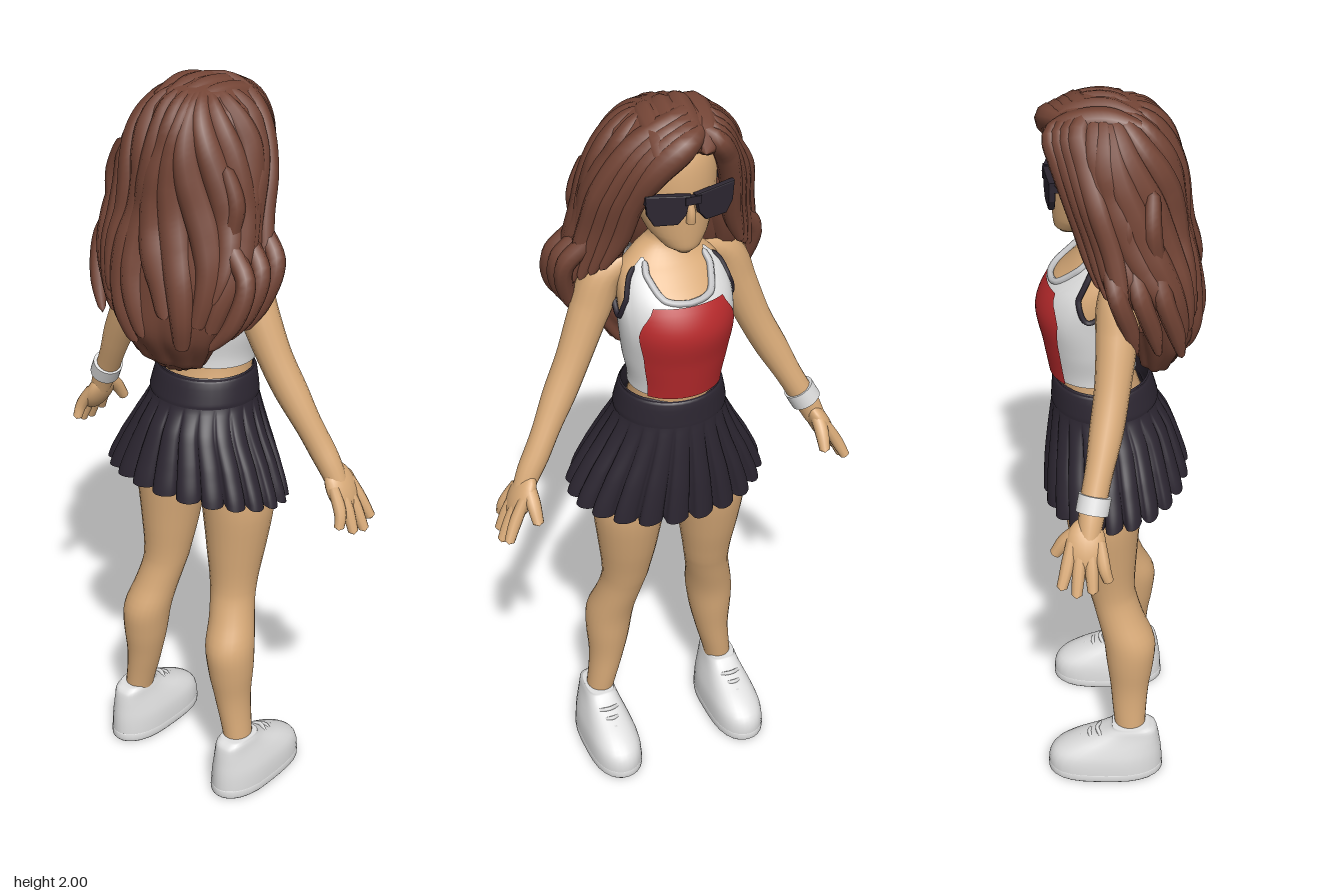
import * as THREE from 'three';

const mat = (name, color) => {
  const m = new THREE.MeshStandardMaterial({ color, side: THREE.DoubleSide });
  m.name = name;
  return m;
};
const V = (x, y, z) => new THREE.Vector3(x, y, z);
const rad = THREE.MathUtils.degToRad;

// Smooth interpolation in a table of rows whose first column is the key
function lookup(S, key) {
  let i = 0;
  while (i < S.length - 2 && key > S[i + 1][0]) i++;
  const t = THREE.MathUtils.clamp((key - S[i][0]) / (S[i + 1][0] - S[i][0]), 0, 1);
  const p0 = S[Math.max(i - 1, 0)], p1 = S[i], p2 = S[i + 1], p3 = S[Math.min(i + 2, S.length - 1)];
  return p1.slice(1).map((b, k) => {
    const a = p0[k + 1], c = p2[k + 1], d = p3[k + 1];
    return b + 0.5 * t * (c - a + t * (2 * a - 5 * b + 4 * c - d + t * (3 * (b - c) + d - a)));
  });
}

// Grid surface from a rule; u runs around, v runs up
function grid(fn, nu, nv, closed) {
  const pos = [], idx = [], w = closed ? nu : nu + 1;
  for (let j = 0; j <= nv; j++)
    for (let i = 0; i < w; i++) pos.push(...fn(i / nu, j / nv, j).toArray());
  for (let j = 0; j < nv; j++)
    for (let i = 0; i < nu; i++) {
      const a = j * w + i, b = j * w + (i + 1) % w;
      idx.push(a, b, b + w, a, b + w, a + w);
    }
  const g = new THREE.BufferGeometry();
  g.setAttribute('position', new THREE.Float32BufferAttribute(pos, 3));
  g.setIndex(idx);
  g.computeVertexNormals();
  return g;
}

// Sections are [y, centre z, half width, half depth]
function at(S, a, y, out = 0) {
  const [cz, rx, rz] = lookup(S, y);
  return V((rx + out) * Math.sin(a), y, cz + (rz + out) * Math.cos(a));
}
function loft(S, nu, steps, rule = at, cap = true) {
  const n = (S.length - 1) * steps;
  return grid((u, v, j) => {
    const r = THREE.MathUtils.clamp(cap ? j - 1 : j, 0, n), k = Math.min(Math.floor(r / steps), S.length - 2);
    const y = THREE.MathUtils.lerp(S[k][0], S[k + 1][0], r / steps - k);
    if (cap && (j === 0 || j === n + 2)) return rule(S, 0, y).lerp(rule(S, Math.PI, y), 0.5);
    return rule(S, u * Math.PI * 2, y);
  }, nu, cap ? n + 2 : n, true);
}

// Tapered tube through [x, y, z, radius] points, with rounded ends
function limb(pts, seg = 10, n = pts.length * 5) {
  const curve = new THREE.CatmullRomCurve3(pts.map(p => V(p[0], p[1], p[2])));
  const g = new THREE.TubeGeometry(curve, n, 1, seg), P = g.attributes.position, v = V();
  const radii = pts.map((p, i) => [i / (pts.length - 1), p[3]]);
  for (let i = 0; i <= n; i++) {
    const u = i / n, c = curve.getPointAt(u), e = Math.max(0, Math.abs(2 * u - 1) - 0.88) / 0.12;
    const r = lookup(radii, u)[0] * Math.sqrt(Math.max(0, 1 - e * e));
    for (let j = 0; j <= seg; j++) {
      const k = i * (seg + 1) + j;
      v.fromBufferAttribute(P, k).sub(c).multiplyScalar(r).add(c);
      P.setXYZ(k, v.x, v.y, v.z);
    }
  }
  return g;
}

export function createModel() {
  const skin = mat('skin', 0xd8aa78), hair = mat('hair brown', 0x744536), dark = mat('dark navy', 0x2c2631);
  const white = mat('white', 0xdedede), red = mat('red', 0xb82a2c), grey = mat('light grey', 0xc8c8ca);
  const body = new THREE.Group();
  const add = (name, geo, m, parent = body) => {
    const mesh = new THREE.Mesh(geo, m);
    mesh.name = name;
    parent.add(mesh);
    return mesh;
  };

  // Torso with neck, and head
  const torso = [[0.97, 0.03, 0.1, 0.07], [1.03, 0.03, 0.17, 0.11], [1.15, 0.04, 0.13, 0.11], [1.27, 0.065, 0.112, 0.102],
    [1.36, 0.07, 0.127, 0.112], [1.45, 0.075, 0.138, 0.122], [1.52, 0.055, 0.14, 0.115], [1.58, 0.03, 0.125, 0.08],
    [1.62, 0.018, 0.085, 0.056], [1.65, 0.02, 0.048, 0.045], [1.7, 0.035, 0.042, 0.042], [1.77, 0.05, 0.04, 0.04]];
  add('torso', loft(torso, 40, 4), skin);
  const head = [[1.652, 0.12, 0.018, 0.022], [1.668, 0.108, 0.045, 0.048], [1.7, 0.08, 0.073, 0.08], [1.75, 0.058, 0.093, 0.105],
    [1.82, 0.053, 0.103, 0.112], [1.89, 0.05, 0.098, 0.106], [1.94, 0.05, 0.065, 0.075], [1.96, 0.05, 0.02, 0.02]];
  add('head', loft(head, 32, 4), skin);
  add('nose', limb([[0, 1.8, 0.155, 0.008], [0, 1.765, 0.165, 0.011], [0, 1.74, 0.163, 0.012]]), skin);

  // Tank top with shaped neckline and armholes
  const edge = [[0, 1.53], [25, 1.54], [40, 1.585], [48, 1.61], [58, 1.608], [68, 1.53], [90, 1.475], [114, 1.53],
    [125, 1.6], [135, 1.605], [150, 1.57], [180, 1.55]];
  const topY = a => lookup(edge, Math.abs(THREE.MathUtils.radToDeg(a)))[0];
  add('tankTop', grid((u, v) => {
    const a = (u * 2 - 1) * Math.PI;
    return at(torso, a, THREE.MathUtils.lerp(1.268, topY(a), v), 0.007);
  }, 90, 18), white);
  const panel = [[1.266, 53], [1.38, 53], [1.45, 57], [1.48, 51], [1.505, 42], [1.525, 37]];
  add('redPanel', grid((u, v) => {
    const y = THREE.MathUtils.lerp(1.266, 1.525, v);
    return at(torso, (u * 2 - 1) * rad(lookup(panel, y)[0]), y, 0.011);
  }, 24, 18), red);
  const trim = (name, a0, a1, r, m) => add(name, limb(Array.from({ length: 25 }, (_, i) => {
    const a = rad(a0 + (a1 - a0) * i / 24);
    return [...at(torso, a, topY(a), 0.007).toArray(), r];
  }), 6, 60), m);
  trim('necklineTrim', -48, 48, 0.009, grey);
  trim('backNeckTrim', 135, 180, 0.008, grey);
  trim('backNeckTrim', -135, -180, 0.008, grey);
  for (const s of [-1, 1]) trim('armholeTrim', s * 60, s * 122, 0.007, dark);

  // Pleated skirt with waistband
  const skirt = [[0.925, 0.008, 0.262, 0.183], [1.02, 0.017, 0.222, 0.172], [1.1, 0.025, 0.178, 0.157],
    [1.17, 0.037, 0.146, 0.137], [1.25, 0.043, 0.13, 0.122]];
  add('skirt', loft(skirt, 264, 6, (S, a, y) => {
    const t = THREE.MathUtils.clamp((1.17 - y) / 0.245, 0, 1), w = (a * 22 / (Math.PI * 2)) % 1;
    const fold = Math.sqrt(Math.abs(Math.sin(Math.PI * Math.pow(w, 0.7))));
    const p = at(S, a, y, Math.pow(t, 0.7) * 0.03 * (fold - 0.65));
    p.y -= t * (0.03 * Math.cos(a) + 0.006 * (fold - 0.5));
    return p;
  }, false), dark);
  add('waistband', loft([[1.175, 0.037, 0.147, 0.138], [1.19, 0.038, 0.146, 0.136], [1.24, 0.043, 0.135, 0.127], [1.252, 0.043, 0.126, 0.118]], 40, 3, at, false), dark);

  // Legs and shoes
  const leg = [[0.12, -0.035, 0.036, 0.04], [0.22, -0.032, 0.042, 0.047], [0.3, -0.032, 0.05, 0.054], [0.38, -0.033, 0.061, 0.065],
    [0.46, -0.03, 0.066, 0.071], [0.54, -0.004, 0.062, 0.064], [0.62, 0.018, 0.064, 0.064], [0.74, 0.032, 0.08, 0.082],
    [0.88, 0.04, 0.097, 0.1], [1.02, 0.035, 0.094, 0.102]];
  const legX = [[0.12, 0.193], [0.3, 0.165], [0.46, 0.152], [0.62, 0.122], [0.88, 0.116], [1.02, 0.1]];
  const shoe = [[0, 0.037, 0.07, 0.155], [0.012, 0.037, 0.074, 0.162], [0.05, 0.037, 0.073, 0.162], [0.08, 0.03, 0.069, 0.153],
    [0.11, 0.008, 0.06, 0.127], [0.14, -0.022, 0.05, 0.092], [0.165, -0.04, 0.044, 0.066], [0.178, -0.034, 0.039, 0.05]];
  for (const s of [-1, 1]) {
    const side = s > 0 ? 'left' : 'right';
    add(side + 'Leg', loft(leg, 24, 4, (S, a, y) => at(S, a, y).add(V(s * lookup(legX, y)[0], 0, 0))), skin);
    const foot = new THREE.Group();
    foot.name = side + 'Shoe';
    foot.position.x = s * 0.193;
    body.add(foot);
    // Squarer outline than an ellipse, narrower at the heel
    const square = (S, a, y) => {
      const p = at(S, a, y), q = Math.sin(2 * a) ** 2;
      p.x *= (1 + 0.1 * q) * (1 + 0.9 * Math.min(0, p.z + 0.02));
      p.z += 0.008 * q * Math.sign(Math.cos(a));
      return p;
    };
    add('shoeUpper', loft(shoe, 32, 3, square), white, foot);
    add('sole', loft([[0, 0.037, 0.071, 0.159], [0.006, 0.037, 0.075, 0.164], [0.026, 0.037, 0.075, 0.164], [0.03, 0.037, 0.072, 0.161]], 32, 2, square), white, foot);
    for (let i = 0; i < 4; i++) {
      const y = 0.15 - i * 0.016, z = 0.06 + i * 0.023;
      add('lace', limb([[-0.03, y - 0.008, z - 0.012, 0.006], [0, y, z, 0.006], [0.03, y - 0.008, z - 0.012, 0.006]], 6), white, foot);
    }

    // Arm, palm, fingers and thumb
    add(side + 'Arm', limb([[0.1, 1.585, 0, 0.036], [0.155, 1.56, 0, 0.053], [0.195, 1.47, 0.002, 0.049], [0.25, 1.34, 0.014, 0.044],
      [0.312, 1.22, 0.034, 0.042], [0.365, 1.12, 0.055, 0.035], [0.393, 1.07, 0.063, 0.033], [0.425, 1.0, 0.072, 0.026]].map(p => [s * p[0], ...p.slice(1)]), 16, 44), skin);
    const palm = add(side + 'Palm', new THREE.SphereGeometry(1, 20, 14), skin);
    palm.scale.set(0.027, 0.07, 0.05);
    palm.position.set(s * 0.422, 1.012, 0.076);
    palm.rotation.z = s * 0.48;
    [[0.462, 0.925, 0.018], [0.482, 0.903, 0.058], [0.488, 0.896, 0.098], [0.48, 0.915, 0.136]].forEach(([x, y, z], i) => {
      const bz = 0.042 + i * 0.022;
      add(side + 'Finger', limb([[s * 0.42, 1.03, bz, 0.014], [s * 0.456, 0.965, (bz + z) / 2, 0.0165], [s * x, y, z, 0.013]], 10), skin);
    });
    add(side + 'Thumb', limb([[s * 0.405, 1.055, 0.08, 0.018], [s * 0.405, 1.015, 0.124, 0.019], [s * 0.403, 0.965, 0.156, 0.014]], 10), skin);
  }
  const band = add('wristband', new THREE.CylinderGeometry(0.041, 0.041, 0.045, 24), white);
  band.position.set(0.376, 1.103, 0.057);
  band.rotation.set(-0.2, 0, 0.49);

  // Sunglasses
  const lens = new THREE.Shape([[0.008, 0.026], [0.108, 0.034], [0.104, -0.01], [0.088, -0.037], [0.036, -0.039], [0.018, -0.018]]
    .map(p => new THREE.Vector2(...p)));
  const glasses = new THREE.Group();
  glasses.name = 'sunglasses';
  glasses.position.set(0, 1.79, 0.168);
  body.add(glasses);
  for (const s of [-1, 1]) {
    const g = new THREE.ExtrudeGeometry(lens, { depth: 0.008, bevelSize: 0.004, bevelThickness: 0.004, bevelSegments: 2 });
    if (s < 0) g.rotateY(Math.PI).translate(0, 0, 0.008);
    add('lens', g, dark, glasses).rotation.y = s * 0.18;
    add('temple', new THREE.BoxGeometry(0.008, 0.016, 0.15), dark, glasses).position.set(s * 0.106, 0.02, -0.085);
  }
  add('bridge', new THREE.BoxGeometry(0.04, 0.02, 0.012), dark, glasses).position.set(0, 0.016, 0.006);

  // Hair mass, hollowed around the face and neck and grooved into locks
  const mass = [[1.28, -0.085, 0.04, 0.02], [1.31, -0.095, 0.1, 0.045], [1.4, -0.11, 0.155, 0.075], [1.5, -0.1, 0.19, 0.086],
    [1.6, -0.065, 0.21, 0.106], [1.7, -0.033, 0.193, 0.108], [1.8, -0.013, 0.18, 0.12], [1.88, 0.012, 0.162, 0.132],
    [1.94, 0.03, 0.13, 0.122], [1.975, 0.04, 0.085, 0.088], [1.993, 0.045, 0.035, 0.035]];
  const hairAt = (S, a, y) => {
    const p = at(S, a, y, 0.008 * Math.abs(Math.sin(a * 5 + y * 5 + Math.sin(y * 10))) * Math.min(1, (2 - y) * 8));
    const n = THREE.MathUtils.smoothstep(1.93 - y, 0, 0.1) * THREE.MathUtils.smoothstep(y, 1.4, 1.52);
    if (Math.cos(a) > 0) p.z -= 0.13 * n * Math.exp(-((p.x / 0.1) ** 4)) * Math.cos(a);
    return p;
  };
  add('hairMass', loft(mass, 84, 6, hairAt), hair);
  // Broad wavy locks half sunk in the mass, starting thin at the crown
  for (let i = 0; i < 15; i++) {
    const a0 = rad(68 + 224 * i / 14), end = 1.33 + 0.05 * (i % 3) + 0.13 * Math.abs(i - 7) / 7;
    add('hairLock', limb(Array.from({ length: 10 }, (_, k) => {
      const t = k / 9, y = THREE.MathUtils.lerp(1.985, end, Math.pow(t, 1.35));
      const p = hairAt(mass, a0 + 0.16 * Math.sin(t * 6 + i * 0.9) - 0.35 * (1 - t), y);
      const k2 = 0.88 + 0.08 * t;
      return [p.x * k2, y - 0.014 * (1 - t), (p.z + 0.03) * k2 - 0.03, 0.012 + 0.03 * Math.sin(Math.PI * Math.min(0.9, 0.05 + t * 0.88))];
    }), 10, 40), hair);
  }
  // Fringe swept from an off-centre parting
  for (let i = 0; i < 4; i++) {
    const d = i * 0.02;
    add('rightFringe', limb([[0.045, 1.95 + d * 0.4, 0.115 - d, 0.02], [-0.015, 1.935 + d * 0.5, 0.16 - d, 0.036], [-0.074 - d * 0.6, 1.885 + d * 0.4, 0.15 - d, 0.034],
      [-0.118 - d, 1.8, 0.112 - d, 0.028], [-0.142 - d, 1.69, 0.075 - d, 0.025], [-0.18 - d, 1.59 - d, 0.04 - d, 0.012]], 10), hair);
    add('leftFringe', limb([[0.035, 1.95 + d * 0.4, 0.115 - d, 0.02], [0.07 + d * 0.4, 1.928 + d * 0.3, 0.15 - d, 0.028], [0.1 + d * 0.6, 1.88, 0.133 - d, 0.028],
      [0.126 + d, 1.8, 0.105 - d, 0.026], [0.15 + d, 1.69, 0.07 - d, 0.023], [0.19 + d, 1.59 - d, 0.04 - d, 0.01]], 10), hair);
  }
  // Locks sweeping from the crown to the forehead
  for (let i = 0; i < 4; i++) {
    const x = -0.065 + i * 0.04, h = 0.006 - 40 * (x * x) * 0.06;
    add('crownLock', limb([[x * 0.8 + 0.03, 1.945 + h, -0.06, 0.018], [x + 0.01, 1.96 + h, 0.03, 0.034], [x, 1.943 + h, 0.115, 0.034], [x * 0.9 - 0.015, 1.908 + h, 0.165, 0.024]], 10), hair);
  }
  // Loose curls at the sides, fuller on the right
  for (const s of [-1, 1])
    for (let i = 0; i < 3; i++) {
      const z = 0.03 - i * 0.055, d = i * 0.012, f = s < 0 ? 0.014 + i * 0.011 : 0;
      add('sideCurl', limb([[s * 0.16, 1.84, z, 0.018], [s * 0.195, 1.75, z, 0.022], [s * 0.19, 1.68 - d, z - 0.01, 0.024],
        [s * (0.24 - d + f), 1.6 - d, z - 0.03, 0.024], [s * (0.225 - d + f), 1.5 - d, z - 0.06, 0.022], [s * (0.2 - d), 1.42 - d, z - 0.075, 0.01]], 8), hair);
    }

  // Turn the figure to face +x
  body.name = 'woman';
  body.rotation.y = Math.PI / 2;
  const model = new THREE.Group();
  model.name = 'model';
  model.add(body);
  return model;
}
